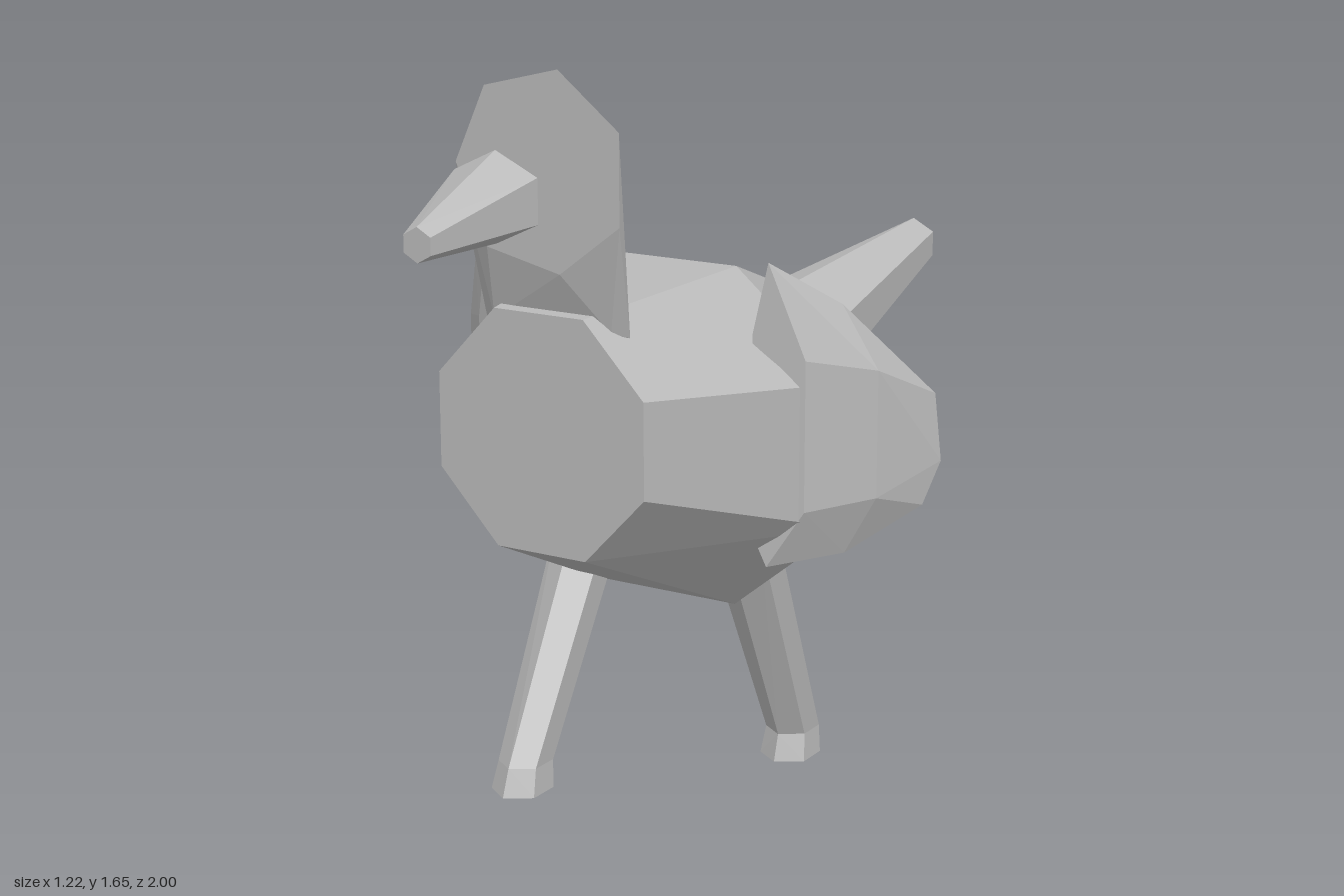
import * as THREE from 'three';
import { ConvexGeometry } from 'three/addons/geometries/ConvexGeometry.js';

const grey = new THREE.MeshStandardMaterial({ color: 0xb8b8b8, flatShading: true });
grey.name = 'warm clay grey';

// Closed faceted solid spanned by a few cross-section points
function solid(name, points) {
  const mesh = new THREE.Mesh(new ConvexGeometry(points.map((p) => new THREE.Vector3(...p))), grey);
  mesh.name = name;
  return mesh;
}

// Octagon across z with separate widths and heights for its flats
function octagon(z, wide, narrow, top, upper, lower, bottom) {
  return [1, -1].flatMap((s) => [
    [s * narrow, top, z], [s * wide, upper, z], [s * wide, lower, z], [s * narrow, bottom, z],
  ]);
}

// Point-up hexagon across z
function hexagon(x, y, z, rx, ry) {
  return [[0, 1], [1, 0.5], [1, -0.5], [0, -1], [-1, -0.5], [-1, 0.5]]
    .map(([u, v]) => [x + u * rx, y + v * ry, z]);
}

// Hexagon lying flat, for legs
function flatHexagon(x, y, z, rx, rz) {
  return hexagon(x, z, y, rx, rz).map(([px, pz, py]) => [px, py, pz]);
}

function leg(name, x, footZ, ankleZ, hipZ) {
  const group = new THREE.Group();
  group.name = name;
  const ankle = flatHexagon(x, 0.062, ankleZ, 0.051, 0.068);
  group.add(
    solid('foot', [...flatHexagon(x, 0, footZ, 0.058, 0.076), ...ankle]),
    solid('shank', [...ankle, ...flatHexagon(x, 0.6, hipZ, 0.07, 0.075)]),
  );
  return group;
}

// Thin folded wing; tip moves the upper and lower points outwards
function wing(name, side, tip) {
  const rim = [
    [0.34 + tip, 1.235, 0.228], [0.455 + tip, 1.14, 0.115], [0.595, 0.93, -0.05],
    [0.608, 0.78, -0.058], [0.582, 0.685, -0.025], [0.46 + tip, 0.59, 0.1],
    [0.34 + tip, 0.572, 0.228], [0.31, 0.64, 0.235], [0.307, 1.08, 0.235],
  ];
  const outerFold = [[0.42, 1.03, 0.208], [0.42, 0.7, 0.208], [0.53, 1.0, 0.09], [0.53, 0.72, 0.09]];
  const innerFold = [[0.575, 0.85, -0.052], [0.45, 0.95, 0.08], [0.45, 0.72, 0.08]];
  return solid(name, [...rim, ...outerFold, ...innerFold].map(([x, y, z]) => [side * x, y, z]));
}

export function createModel() {
  const model = new THREE.Group();
  model.name = 'bird';

  // Body: three octagonal sections from chest to rump
  model.add(solid('body', [
    ...octagon(0.578, 0.255, 0.11, 1.153, 1.0, 0.793, 0.64),
    ...octagon(0.1, 0.455, 0.187, 1.19, 0.965, 0.645, 0.425),
    ...octagon(-0.41, 0.165, 0.068, 1.025, 0.955, 0.785, 0.702),
  ]));

  // Tail tapering upwards and slightly to one side
  model.add(solid('tail', [
    ...hexagon(0, 0.902, -0.395, 0.165, 0.118),
    ...hexagon(0.056, 1.05, -1, 0.055, 0.06),
  ]));

  // Neck: flat face at the front, sloping wedge behind
  model.add(solid('neck', [
    [-0.2, 1.45, 0.578], [-0.125, 1.612, 0.578], [0.055, 1.655, 0.578], [0.2, 1.54, 0.578],
    [0.2, 1.35, 0.578], [0.055, 1.24, 0.578], [-0.125, 1.28, 0.578],
    [-0.175, 1.105, 0.51], [-0.11, 1.14, 0.475], [0.15, 1.14, 0.475], [0.18, 1.11, 0.51],
    [0.15, 1.12, 0.535], [-0.14, 1.12, 0.535],
  ]));

  // Beak
  model.add(solid('beak', [
    ...hexagon(0.01, 1.418, 0.73, 0.1, 0.093),
    ...hexagon(0.02, 1.367, 1, 0.032, 0.035),
  ]));

  model.add(wing('leftWing', 1, 0), wing('rightWing', -1, 0.04));
  model.add(leg('leftLeg', 0.203, -0.13, -0.14, 0.1), leg('rightLeg', -0.203, 0.375, 0.36, 0.065));
  return model;
}
